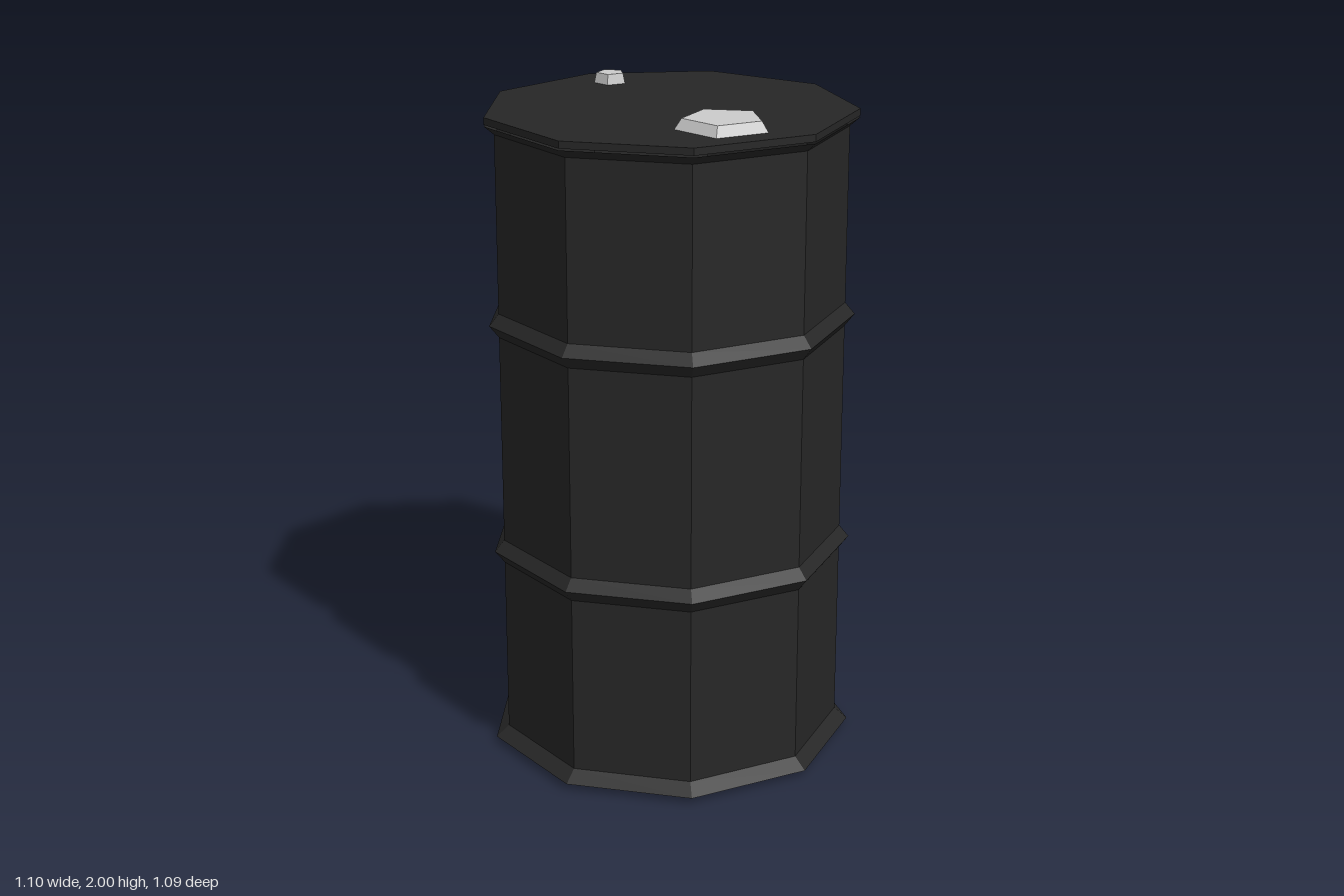
import * as THREE from 'three';

const SIDES = 9;

export function createModel() {
  const model = new THREE.Group();
  model.name = 'drum';
  const dark = new THREE.MeshStandardMaterial({ color: 0x272727, flatShading: true });
  const grey = new THREE.MeshStandardMaterial({ color: 0xcccccc, flatShading: true });

  const add = (name, geometry, material, y, z) => {
    const mesh = new THREE.Mesh(geometry, material);
    mesh.name = name;
    mesh.position.set(0, y, z);
    model.add(mesh);
  };

  // Nine-sided shell: flared foot, two rolled ridges, flared top rim
  const R = 0.521, RIDGE = 0.55;
  const ridge = (y) => [[R, y - 0.037], [RIDGE, y], [R, y + 0.035]];
  const profile = [
    [0, 0], [0.52, 0], [0.56, 0.02], [R, 0.055],
    ...ridge(0.64), ...ridge(1.352),
    [R, 1.918], [RIDGE, 1.943],
  ].map(([x, y]) => new THREE.Vector2(x, y));
  const shellMaterial = dark.clone();
  shellMaterial.side = THREE.DoubleSide;
  const centreZ = 0.014;
  add('shell', new THREE.LatheGeometry(profile, SIDES, Math.PI), shellMaterial, 0, centreZ);

  // Lid plate, resting just above the rim with a fine seam
  add('lid', new THREE.CylinderGeometry(RIDGE, RIDGE, 0.021, SIDES, 1, false, Math.PI), dark, 1.9585, centreZ);

  // Tapered five-sided bung caps
  const cap = (name, top, bottom, z) =>
    add(name, new THREE.CylinderGeometry(top, bottom, 0.032, 5, 1, false, Math.PI), grey, 1.984, z);
  cap('largeCap', 0.118, 0.139, 0.344);
  cap('smallCap', 0.043, 0.05, -0.385);

  return model;
}
